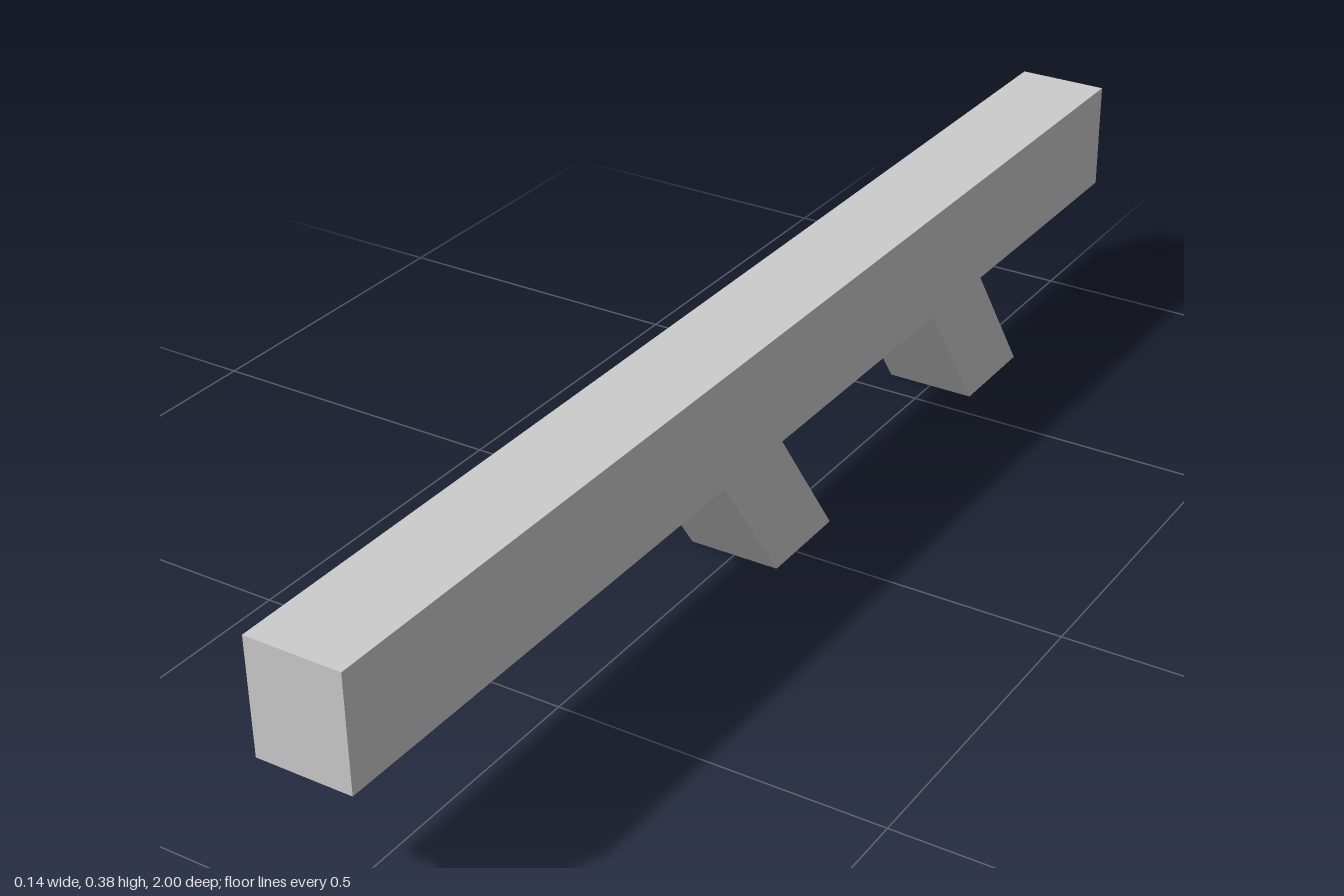
import * as THREE from 'three';

const WIDTH = 0.144, UNDERSIDE = 0.205, TOP = 0.377;

// Extrudes a [z, y] side profile across the full width, centred on x = 0
function slab(name, profile, material) {
  const shape = new THREE.Shape(profile.map(([z, y]) => new THREE.Vector2(z, y)));
  const geometry = new THREE.ExtrudeGeometry(shape, { depth: WIDTH, bevelEnabled: false });
  geometry.translate(0, 0, -WIDTH / 2).rotateY(-Math.PI / 2);
  const mesh = new THREE.Mesh(geometry, material);
  mesh.name = name;
  return mesh;
}

export function createModel() {
  const group = new THREE.Group();
  group.name = 'beamWithSlantedLegs';
  const grey = new THREE.MeshStandardMaterial({ color: 0xcccccc });
  grey.name = 'lightGrey';

  // Long square-edged beam
  group.add(slab('beam', [[-1, UNDERSIDE], [1, UNDERSIDE], [1, TOP], [-1, TOP]], grey));

  // Two legs leaning backwards: front edge at the top, thickness along z
  const lean = 0.14;
  [['frontLeg', 0.195, 0.154], ['rearLeg', -0.411, 0.16]].forEach(([name, z, thick]) => {
    group.add(slab(name, [
      [z - lean - thick, 0], [z - lean, 0], [z, UNDERSIDE], [z - thick, UNDERSIDE],
    ], grey));
  });

  return group;
}
